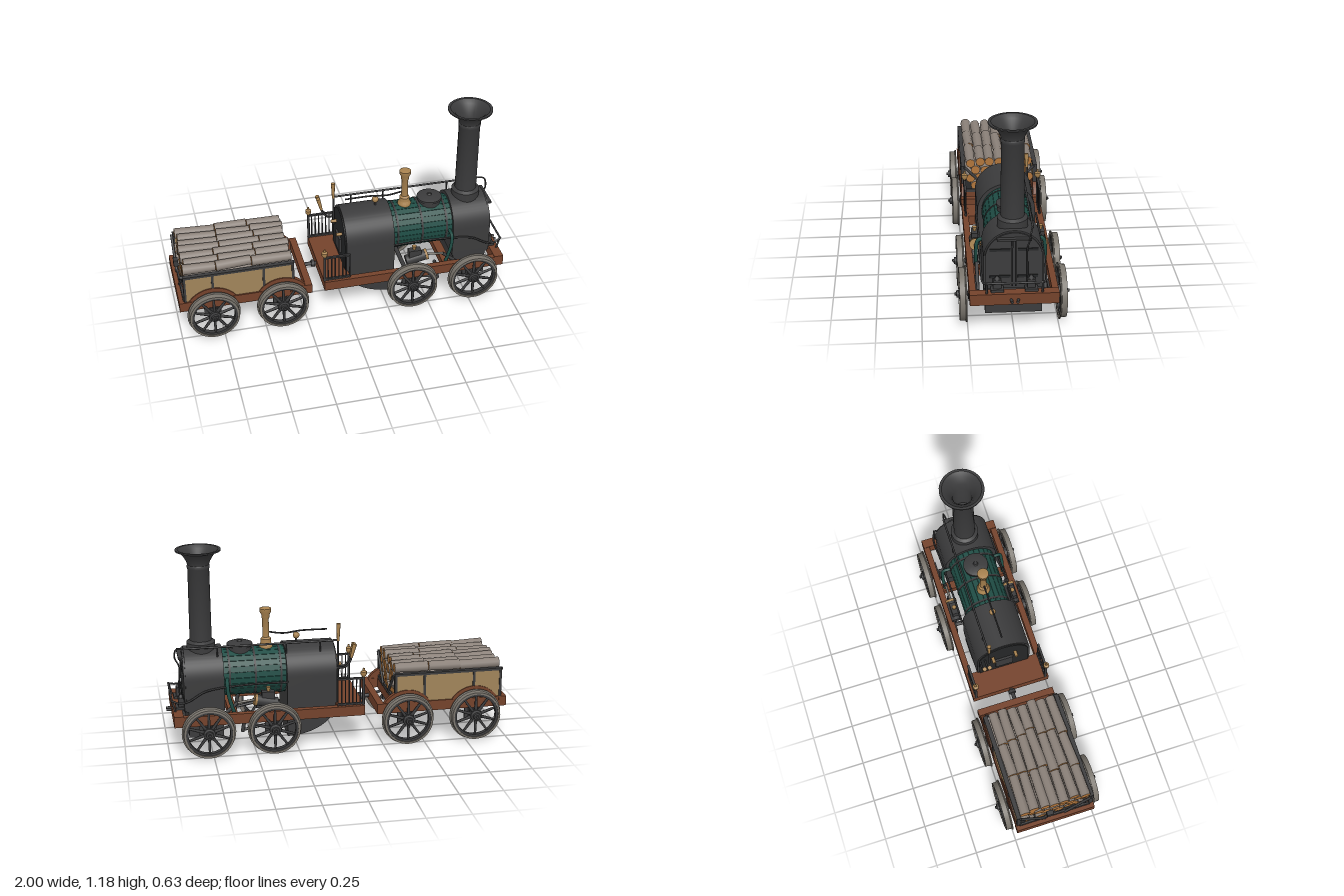
import * as THREE from 'three';
import { toCreasedNormals } from 'three/addons/utils/BufferGeometryUtils.js';

const material = (name, color) => {
  const m = new THREE.MeshStandardMaterial({ color });
  m.name = name;
  return m;
};

export function createModel() {
  const iron = material('dark iron', 0x3b3b3c);
  const black = material('black iron', 0x262728);
  const wood = material('red brown wood', 0x74422b);
  const tan = material('tan planks', 0xa0845a);
  const green = material('green staves', 0x1f4d45);
  const steel = material('worn steel', 0x7a756d);
  const brass = material('brass', 0xa8824f);
  const bark = material('grey bark', 0x8b8179);
  const cut = material('cut log ends', 0xb0753c);

  const model = new THREE.Group();
  model.name = 'steamLocomotiveAndTender';
  const group = (name, parent = model) => {
    const g = new THREE.Group();
    g.name = name;
    parent.add(g);
    return g;
  };
  const add = (g, name, geo, mat) => {
    const m = new THREE.Mesh(geo, mat);
    m.name = name;
    g.add(m);
    return m;
  };
  const V = (p) => new THREE.Vector3(...p);
  // box from its limits on each axis
  const box = (g, name, mat, x0, x1, y0, y1, z0, z1) =>
    add(g, name, new THREE.BoxGeometry(x1 - x0, y1 - y0, z1 - z0)
      .translate((x0 + x1) / 2, (y0 + y1) / 2, (z0 + z1) / 2), mat);
  // straight round bar between two points
  const rod = (g, name, mat, a, b, r, r2 = r, sides = 10) => {
    const d = V(b).sub(V(a));
    const m = add(g, name, new THREE.CylinderGeometry(r2, r, d.length(), sides), mat);
    m.position.copy(V(a).addScaledVector(d, 0.5));
    m.quaternion.setFromUnitVectors(new THREE.Vector3(0, 1, 0), d.normalize());
    return m;
  };
  const tube = (g, name, mat, pts, r) =>
    add(g, name, new THREE.TubeGeometry(new THREE.CatmullRomCurve3(pts.map(V)), 32, r, 6), mat);
  const lathe = (pts, sides = 32) =>
    toCreasedNormals(new THREE.LatheGeometry(pts.map((p) => new THREE.Vector2(...p)), sides), 0.6);
  const both = (fn) => [1, -1].forEach(fn);

  // arched housing running along x
  const arch = (g, name, mat, x0, x1, w, yBase, yMid) => {
    const s = new THREE.Shape();
    s.moveTo(-w, yBase).lineTo(w, yBase).lineTo(w, yMid);
    s.absarc(0, yMid, w, 0, Math.PI, false);
    const geo = new THREE.ExtrudeGeometry(s, { depth: x1 - x0, bevelEnabled: false, curveSegments: 28 });
    return add(g, name, toCreasedNormals(geo.rotateY(Math.PI / 2).translate(x0, 0, 0), 0.5), mat);
  };

  // ---- wheels ----
  const rimGeo = lathe([[0.134, -0.02], [0.156, -0.02], [0.156, -0.014], [0.148, -0.011],
    [0.146, 0.02], [0.134, 0.02], [0.134, -0.02]], 40).rotateX(Math.PI / 2);
  const felloeGeo = lathe([[0.12, -0.014], [0.135, -0.014], [0.135, 0.014], [0.12, 0.014], [0.12, -0.014]], 40)
    .rotateX(Math.PI / 2);
  const hubGeo = lathe([[0, -0.025], [0.034, -0.025], [0.034, 0.018], [0.022, 0.022], [0.02, 0.034],
    [0.01, 0.036], [0.008, 0.045], [0, 0.045]], 20).rotateX(Math.PI / 2);
  const wheelSet = (g, x) => {
    const set = group('wheelSet', g);
    rod(set, 'axle', iron, [x, 0.155, -0.26], [x, 0.155, 0.26], 0.013);
    both((s) => {
      const w = group('wheel', set);
      w.position.set(x, 0.155, s * 0.272);
      if (s < 0) w.rotation.y = Math.PI;
      add(w, 'tyre', rimGeo, steel);
      add(w, 'felloe', felloeGeo, iron);
      add(w, 'hub', hubGeo, iron);
      for (let i = 0; i < 10; i++) {
        const a = (i + 0.5) * Math.PI / 5, c = Math.cos(a), n = Math.sin(a);
        rod(w, 'spoke', iron, [c * 0.02, n * 0.02, 0], [c * 0.125, n * 0.125, 0], 0.01, 0.007, 6);
      }
      // axle box and guard
      box(set, 'axleBox', iron, x - 0.028, x + 0.028, 0.125, 0.185, s * 0.222 - 0.02, s * 0.222 + 0.02);
      box(set, 'axleGuard', iron, x - 0.05, x + 0.05, 0.11, 0.2, s * 0.2 - 0.006, s * 0.2 + 0.006);
    });
  };

  // ---- locomotive frame ----
  const loco = group('locomotive');
  const frame = group('locomotiveFrame', loco);
  both((s) => box(frame, 'sideBeam', wood, -0.14, 0.93, 0.19, 0.25, s * 0.223 - 0.018, s * 0.223 + 0.018));
  box(frame, 'frontBeam', wood, 0.915, 0.97, 0.19, 0.255, -0.241, 0.241);
  box(frame, 'footplate', wood, -0.14, 0.02, 0.192, 0.252, -0.206, 0.206);
  box(frame, 'crossBeam', wood, 0.6, 0.65, 0.195, 0.24, -0.206, 0.206);
  [0.395, 0.775].forEach((x) => wheelSet(loco, x));

  // ---- firebox ----
  const firebox = group('firebox', loco);
  arch(firebox, 'fireboxCasing', iron, 0.012, 0.305, 0.166, 0.2, 0.424);
  const belly = new THREE.Shape();
  belly.moveTo(0.012, 0.21);
  belly.bezierCurveTo(0.06, 0.12, 0.16, 0.06, 0.305, 0.058);
  belly.lineTo(0.305, 0.21);
  add(firebox, 'ashPan', toCreasedNormals(new THREE.ExtrudeGeometry(belly,
    { depth: 0.316, bevelEnabled: false, curveSegments: 16 }).translate(0, 0, -0.158), 0.5), iron);
  arch(firebox, 'backRim', black, 0.005, 0.02, 0.155, 0.25, 0.42);
  box(firebox, 'fireDoor', iron, -0.008, 0.008, 0.31, 0.41, -0.055, 0.055);
  both((s) => rod(firebox, 'gaugeCock', brass, [0.01, 0.46, s * 0.07], [-0.03, 0.46, s * 0.07], 0.01));

  // ---- boiler barrel with staves ----
  const boiler = group('boiler', loco);
  rod(boiler, 'boilerCore', black, [0.3, 0.432, 0], [0.68, 0.432, 0], 0.136, 0.136, 36);
  const staves = 26;
  for (let i = 0; i < staves; i++) {
    const stave = box(boiler, 'stave', green, 0.302, 0.678, 0.13, 0.14, -0.0158, 0.0158);
    stave.position.y = 0.432;
    stave.rotation.x = (i / staves) * Math.PI * 2;
  }
  [0.335, 0.485, 0.635].forEach((x) =>
    rod(boiler, 'boilerBand', iron, [x - 0.006, 0.432, 0], [x + 0.006, 0.432, 0], 0.1435, 0.1435, 40));
  add(boiler, 'manhole', lathe([[0.068, 0.55], [0.068, 0.585], [0.075, 0.587], [0.075, 0.6], [0.05, 0.61],
    [0.015, 0.612], [0.01, 0.62], [0, 0.62]], 28), iron).position.x = 0.56;
  add(boiler, 'safetyValve', lathe([[0.04, 0.55], [0.04, 0.58], [0.03, 0.595], [0.03, 0.62], [0.02, 0.63],
    [0.019, 0.74], [0.024, 0.75], [0.024, 0.765], [0.034, 0.785], [0.034, 0.803], [0.02, 0.807], [0, 0.807]], 20),
  brass).position.x = 0.405;
  tube(boiler, 'safetyLever', iron, [[0.04, 0.655, 0], [0.2, 0.655, 0], [0.3, 0.645, 0], [0.4, 0.66, 0]], 0.005);
  add(boiler, 'leverWeight', new THREE.SphereGeometry(0.02, 14, 10), brass).position.set(0.225, 0.628, 0);
  rod(boiler, 'leverPost', iron, [0.225, 0.58, 0], [0.225, 0.655, 0], 0.006);

  // ---- smokebox ----
  const smokebox = group('smokebox', loco);
  arch(smokebox, 'smokeboxCasing', iron, 0.67, 0.892, 0.162, 0.25, 0.432);
  arch(smokebox, 'frontPlate', iron, 0.89, 0.902, 0.155, 0.255, 0.43);
  box(smokebox, 'lowerBox', iron, 0.68, 0.88, 0.09, 0.25, -0.155, 0.155);
  both((s) => {
    box(smokebox, 'doorEdge', black, 0.9, 0.91, 0.27, 0.55, s * 0.009 - 0.004, s * 0.009 + 0.004);
    [0.32, 0.48].forEach((y) =>
      box(smokebox, 'hinge', black, 0.9, 0.908, y, y + 0.014, Math.min(s * 0.02, s * 0.13), Math.max(s * 0.02, s * 0.13)));
    box(smokebox, 'frontFoot', iron, 0.902, 0.95, 0.255, 0.27, s * 0.092 - 0.035, s * 0.092 + 0.035);
    box(smokebox, 'frontBracket', iron, 0.902, 0.935, 0.27, 0.32, s * 0.092 - 0.022, s * 0.092 + 0.022);
    rod(smokebox, 'bracketCap', iron, [0.918, 0.32, s * 0.092], [0.918, 0.34, s * 0.092], 0.016, 0.006);
  });
  box(smokebox, 'doorLintel', iron, 0.9, 0.925, 0.548, 0.56, -0.092, 0.092);

  // ---- chimney, open at the top ----
  add(loco, 'chimney', lathe([[0.083, 0.56], [0.083, 0.625], [0.064, 0.638], [0.062, 1.06], [0.065, 1.065],
    [0.065, 1.08], [0.062, 1.085], [0.068, 1.105], [0.085, 1.135], [0.104, 1.158], [0.13, 1.166], [0.13, 1.174],
    [0.115, 1.174], [0.09, 1.155], [0.065, 1.11], [0.054, 1.07], [0.052, 0.9], [0, 0.9]], 36), iron)
    .position.x = 0.785;

  // ---- control rods, levers and handrails ----
  const controls = group('controls', loco);
  rod(controls, 'regulatorRod', iron, [0, 0.615, -0.1], [0.9, 0.615, -0.1], 0.006);
  tube(controls, 'frontControlRod', iron, [[0.89, 0.615, -0.1], [0.935, 0.61, -0.09], [0.945, 0.56, -0.08],
    [0.92, 0.5, -0.07], [0.925, 0.38, -0.07], [0.92, 0.3, -0.07]], 0.005);
  [0.1, 0.3, 0.7].forEach((x) => rod(controls, 'rodStay', iron, [x, 0.54, -0.1], [x, 0.615, -0.1], 0.005));
  rod(controls, 'tallLever', iron, [-0.005, 0.42, -0.095], [-0.008, 0.61, -0.095], 0.006);
  rod(controls, 'tallHandle', brass, [-0.008, 0.61, -0.095], [-0.01, 0.715, -0.095], 0.008, 0.012);
  [-0.12, -0.15].forEach((z) => {
    tube(controls, 'curvedLever', iron, [[0.015, 0.46, z], [-0.04, 0.465, z], [-0.07, 0.5, z], [-0.078, 0.53, z]], 0.006);
    rod(controls, 'leverHandle', brass, [-0.076, 0.52, z], [-0.096, 0.6, z], 0.008, 0.013);
  });
  both((s) => {
    tube(controls, 'sidePipe', iron, [[0.3, 0.4, s * 0.172], [0.55, 0.4, s * 0.172], [0.78, 0.375, s * 0.174],
      [0.88, 0.32, s * 0.174], [0.93, 0.31, s * 0.17], [0.98, 0.325, s * 0.15]], 0.006);
    rod(controls, 'guardPost', iron, [0.955, 0.25, s * 0.15], [0.975, 0.33, s * 0.15], 0.006);
    rod(controls, 'frontHook', iron, [0.96, 0.22, s * 0.02], [1, 0.22, s * 0.015], 0.008);
  });
  rod(controls, 'frontGuardRail', iron, [0.975, 0.325, -0.15], [0.975, 0.325, 0.15], 0.006);

  // ---- footplate railings ----
  both((s) => {
    const rail = group('footplateRailing', loco), z = s * 0.222;
    [0.255, 0.41].forEach((y) => box(rail, 'railBar', iron, -0.14, 0.02, y, y + 0.01, z - 0.007, z + 0.007));
    for (let i = 0; i < 7; i++) rod(rail, 'baluster', iron, [-0.115 + i * 0.022, 0.25, z], [-0.115 + i * 0.022, 0.414, z], 0.004, 0.004, 6);
    rod(rail, 'cornerPost', iron, [-0.135, 0.25, z], [-0.135, 0.435, z], 0.008);
    add(rail, 'postKnob', lathe([[0.006, 0.42], [0.018, 0.437], [0.018, 0.455], [0.007, 0.462], [0.006, 0.475], [0, 0.478]], 12),
      brass).position.set(-0.135, 0, z);
  });

  // ---- side engines ----
  both((s) => {
    const e = group('sideEngine', loco), z = s * 0.188;
    rod(e, 'steamCylinder', iron, [0.37, 0.285, z], [0.49, 0.31, z], 0.032, 0.032, 18);
    rod(e, 'cylinderCover', brass, [0.488, 0.31, z], [0.502, 0.313, z], 0.034, 0.034, 18);
    box(e, 'valveChest', iron, 0.385, 0.46, 0.31, 0.36, z - 0.02, z + 0.02);
    rod(e, 'oilCup', brass, [0.42, 0.36, z], [0.42, 0.385, z], 0.008, 0.014);
    rod(e, 'pistonRod', steel, [0.5, 0.312, z], [0.6, 0.3, z], 0.007);
    rod(e, 'connectingRod', iron, [0.6, 0.3, z], [0.76, 0.165, z], 0.01);
    rod(e, 'rockerArm', iron, [0.55, 0.25, z], [0.575, 0.12, z], 0.011);
    rod(e, 'linkRod', iron, [0.575, 0.13, z], [0.41, 0.16, z], 0.008);
    tube(e, 'steamPipe', green, [[0.65, 0.43, s * 0.13], [0.655, 0.42, s * 0.18], [0.65, 0.35, s * 0.192], [0.62, 0.24, s * 0.19]], 0.011);
  });

  // ---- tender frame and coupling ----
  const tender = group('tender');
  both((s) => box(tender, 'sideBeam', wood, -0.97, -0.24, 0.19, 0.25, s * 0.222 - 0.017, s * 0.222 + 0.017));
  [[-1, -0.955], [-0.255, -0.215], [-0.345, -0.315]].forEach(([a, b]) =>
    box(tender, 'crossBeam', wood, a, b, 0.19, 0.25, -0.241, 0.241));
  box(tender, 'floor', black, -0.96, -0.33, 0.235, 0.252, -0.206, 0.206);
  [-0.805, -0.395].forEach((x) => wheelSet(tender, x));
  rod(tender, 'drawBar', iron, [-0.22, 0.22, 0], [-0.135, 0.22, 0], 0.012);
  rod(tender, 'drawBarCollar', iron, [-0.17, 0.22, 0], [-0.15, 0.22, 0], 0.022);
  box(tender, 'rearLamp', iron, -0.992, -0.965, 0.33, 0.37, -0.055, -0.015);

  // ---- tender body ----
  both((s) => {
    const wall = group('tenderWall', tender), z = s * 0.222;
    box(wall, 'planking', tan, -0.965, -0.325, 0.25, 0.415, z - 0.008, z + 0.008);
    box(wall, 'topRail', iron, -0.97, -0.32, 0.412, 0.426, z - 0.013, z + 0.013);
    [-0.963, -0.8, -0.5, -0.327].forEach((x) => box(wall, 'upright', iron, x - 0.007, x + 0.007, 0.25, 0.42, z - 0.013, z + 0.013));
    [-0.805, -0.395].forEach((x) => {
      const a = 0.577, sh = new THREE.Shape();
      sh.absarc(0, 0.16, 0.165, a, Math.PI - a, false);
      const geo = new THREE.ExtrudeGeometry(sh, { depth: 0.028, bevelEnabled: false, curveSegments: 16 });
      add(wall, 'wheelArch', geo.translate(x, 0, z - 0.014), wood);
    });
    [-0.975, -0.318].forEach((x) => rod(wall, 'endBrace', iron, [x, 0.255, s * 0.06], [x, 0.42, s * 0.215], 0.008));
  });
  [-0.97, -0.323].forEach((x) => box(tender, 'endRail', iron, x - 0.006, x + 0.006, 0.25, 0.27, -0.22, 0.22));

  // ---- stacked firewood ----
  let seed = 7;
  const rnd = () => (seed = (seed * 16807) % 2147483647) / 2147483647;
  const load = group('firewood', tender);
  for (let layer = 0; layer < 4; layer++) {
    const rows = layer % 2 ? 7 : 6;
    for (let r = 0; r < rows; r++) {
      let x = -0.965 + rnd() * 0.02;
      for (let k = 0; k < 3; k++) {
        const end = Math.min(x + 0.19 + rnd() * 0.05, -0.33);
        const y = 0.283 + layer * 0.053 + rnd() * 0.008, z = (r - (rows - 1) / 2) * 0.06;
        const log = rod(load, 'log', bark, [x, y, z + (rnd() - 0.5) * 0.01],
          [k === 2 ? -0.335 + rnd() * 0.015 : end, y + (rnd() - 0.5) * 0.01, z + (rnd() - 0.5) * 0.01], 0.031, 0.028, 9);
        log.material = [bark, cut, cut];
        x = end + 0.003;
      }
    }
  }
  return model;
}
